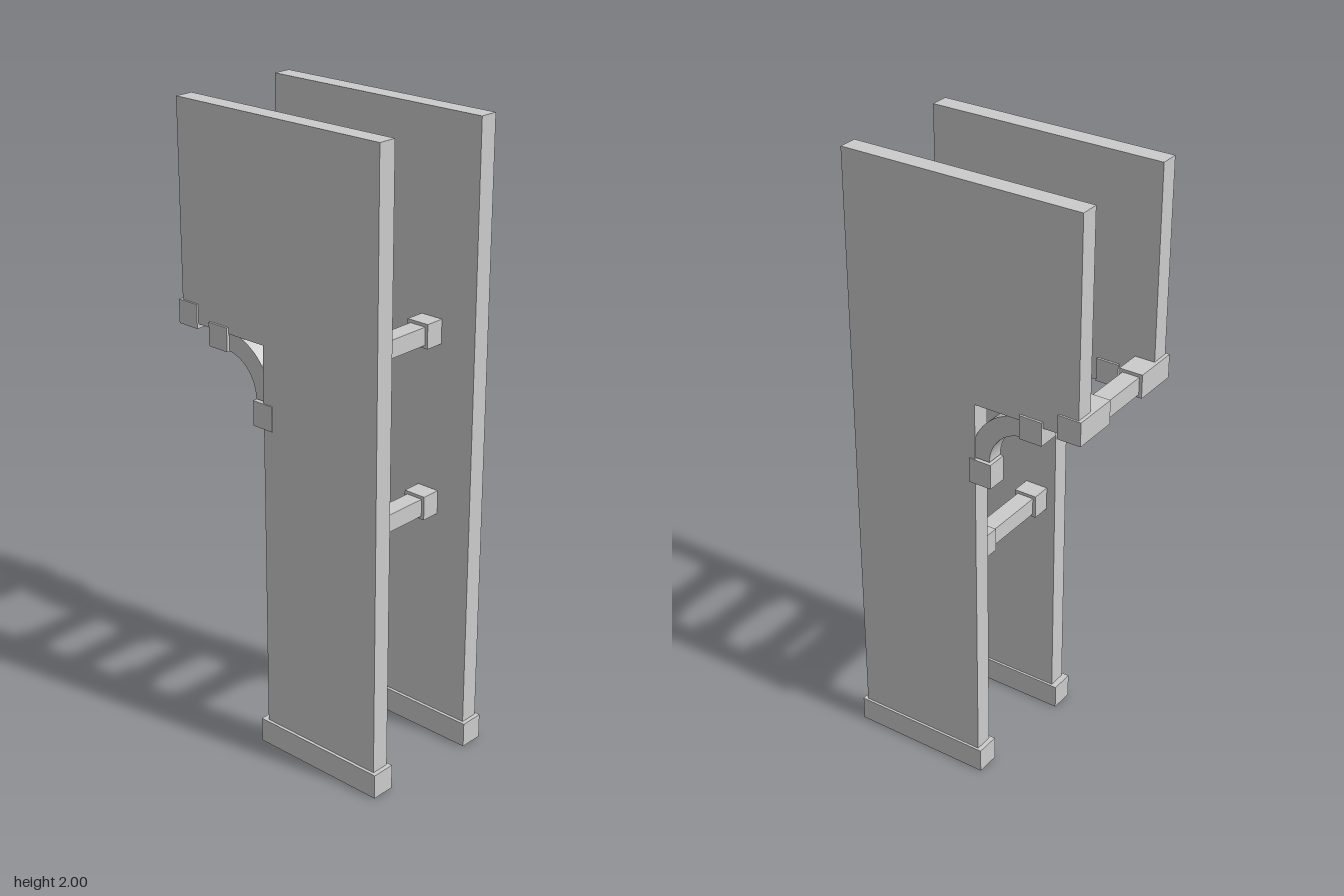
import * as THREE from 'three';

const mat = new THREE.MeshStandardMaterial({ color: 0xcccccc, flatShading: true });

// Box given by its min and max on each axis
function box(name, x0, x1, y0, y1, z0, z1) {
  const mesh = new THREE.Mesh(new THREE.BoxGeometry(x1 - x0, y1 - y0, z1 - z0), mat);
  mesh.position.set((x0 + x1) / 2, (y0 + y1) / 2, (z0 + z1) / 2);
  mesh.name = name;
  return mesh;
}

// Side profile drawn as (-z, y), extruded across x from x0 to x1
function profile(name, shape, x0, x1) {
  const geo = new THREE.ExtrudeGeometry(shape, { depth: x1 - x0, bevelEnabled: false, curveSegments: 12 });
  geo.rotateY(Math.PI / 2);
  const mesh = new THREE.Mesh(geo, mat);
  mesh.position.x = x0;
  mesh.name = name;
  return mesh;
}

// One side: stepped wall panel, plinth and arched bracket under the overhang
function side(name, x, front, back, plinthFront, plinthBack) {
  const g = new THREE.Group();
  g.name = name;
  const wall = new THREE.Shape([
    [-front, 0.01], [-back, 0.01], [-back, 1.33], [0.395, 1.33], [0.395, 2], [-front, 2],
  ].map(([u, v]) => new THREE.Vector2(u, v)));
  g.add(profile('wallPanel', wall, x - 0.03, x + 0.03));
  g.add(box('plinth', x - 0.04, x + 0.038, 0, 0.08, plinthBack, plinthFront));

  // Quarter arch with a block at each end
  const arch = new THREE.Shape();
  arch.absarc(0.22, 1.155, 0.183, Math.PI, Math.PI / 2, true);
  arch.absarc(0.22, 1.155, 0.122, Math.PI / 2, Math.PI, false);
  g.add(profile('bracketArch', arch, x - 0.027, x + 0.027));
  g.add(box('bracketLowerBlock', x - 0.033, x + 0.033, 1.07, 1.15, -0.105, -0.03));
  g.add(box('bracketUpperBlock', x - 0.037, x + 0.037, 1.275, 1.35, -0.28, -0.205));
  return g;
}

// Cross beam with a larger block at each end
function crossBeam(name, y, z, inner, outer) {
  const g = new THREE.Group();
  g.name = name;
  g.add(box('beam', -inner, inner, y - 0.028, y + 0.028, z - 0.028, z + 0.028));
  for (const s of [-1, 1]) {
    const [a, b] = s < 0 ? [-outer, -inner] : [inner, outer];
    g.add(box('beamEndBlock', a, b, y - 0.038, y + 0.038, z - 0.038, z + 0.038));
  }
  return g;
}

export function createModel() {
  const model = new THREE.Group();
  model.name = 'doubleWallFrame';
  model.add(side('leftSide', 0.2, 0.39, -0.05, 0.403, -0.065));
  model.add(side('rightSide', -0.2, 0.372, -0.065, 0.386, -0.085));

  // Beams between the walls, at two heights and two depths
  for (const y of [0.8, 1.347])
    for (const z of [0.003, 0.229]) model.add(crossBeam('crossBeam', y, z, 0.107, 0.18));

  // Beam under the rear overhang
  model.add(crossBeam('rearBeam', 1.354, -0.368, 0.085, 0.236));
  return model;
}
